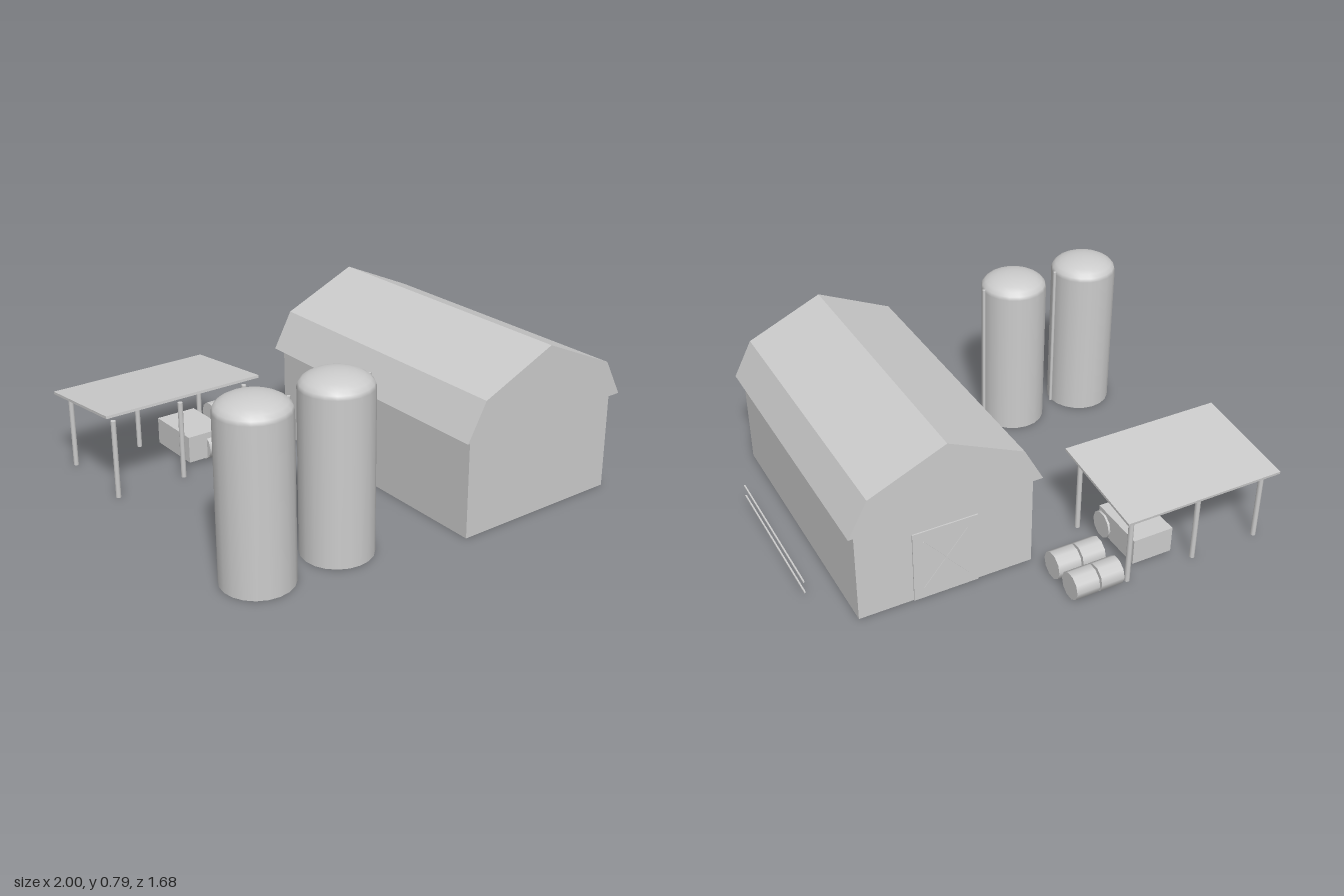
import * as THREE from 'three';

export function createModel() {
  const model = new THREE.Group();
  const grey = new THREE.MeshStandardMaterial({ name: 'plainGrey', color: 0xcccccc });

  function add(name, geometry, x, y, z, parent = model) {
    const mesh = new THREE.Mesh(geometry, grey);
    mesh.name = name;
    mesh.position.set(x, y, z);
    parent.add(mesh);
    return mesh;
  }
  function group(name) {
    const g = new THREE.Group();
    g.name = name;
    model.add(g);
    return g;
  }

  // Barn: walls and a solid gambrel roof
  const barn = group('barn');
  add('barnWalls', new THREE.BoxGeometry(0.81, 0.445, 1.295), 0.425, 0.2225, 0.1675, barn);
  const gable = new THREE.Shape([
    [-0.015, 0.445], [0.86, 0.445], [0.772, 0.61], [0.423, 0.765], [0.075, 0.61],
  ].map(([x, y]) => new THREE.Vector2(x, y)));
  add('barnRoof', new THREE.ExtrudeGeometry(gable, { depth: 1.345, bevelEnabled: false }), 0, 0, -0.503, barn);

  // Back door with crossed braces
  add('barnDoor', new THREE.BoxGeometry(0.3, 0.35, 0.008), 0.43, 0.175, -0.482, barn);
  for (const s of [-1, 1]) {
    const brace = add('doorBrace', new THREE.BoxGeometry(0.008, 0.32, 0.006), 0.43, 0.175, -0.486, barn);
    brace.rotation.z = s * 0.69;
  }

  // Silos: straight body, flattened dome, side pipe
  for (const x of [-0.845, -0.46]) {
    const silo = group('silo');
    add('siloBody', new THREE.CylinderGeometry(0.155, 0.155, 0.72, 20), x, 0.36, 0.57, silo);
    const dome = add('siloDome',
      new THREE.SphereGeometry(0.155, 20, 6, 0, Math.PI * 2, 0, Math.PI / 2), x, 0.72, 0.57, silo);
    dome.scale.y = 0.43;
    add('siloPipe', new THREE.CylinderGeometry(0.008, 0.008, 0.735, 8), x + 0.159, 0.3675, 0.57, silo);
  }

  // Open shed: sloping roof on two rows of posts
  const shed = group('shed');
  const roof = add('shedRoof', new THREE.BoxGeometry(0.77, 0.012, 0.512), -0.61, 0.382, -0.585, shed);
  roof.rotation.x = -Math.atan(0.11);
  for (const x of [-0.94, -0.61, -0.275]) {
    for (const z of [-0.788, -0.38]) {
      add('shedPost', new THREE.CylinderGeometry(0.012, 0.012, 0.364, 8), x, 0.182, z, shed);
    }
  }

  // Trough under the shed
  add('trough', new THREE.BoxGeometry(0.195, 0.125, 0.28), -0.4375, 0.0825, -0.59);

  // Round bales lying along x
  const baleGeometry = new THREE.CylinderGeometry(0.063, 0.063, 0.11, 10).rotateZ(Math.PI / 2);
  for (const [x, z] of [[-0.175, -0.77], [-0.055, -0.77], [-0.175, -0.623], [-0.055, -0.623], [-0.385, -0.485]]) {
    add('bale', baleGeometry, x, 0.066, z);
  }

  // Fence rails beside the barn
  for (const y of [0.077, 0.133]) {
    add('fenceRail', new THREE.BoxGeometry(0.007, 0.007, 0.735), 0.993, y, 0.06);
  }

  return model;
}
